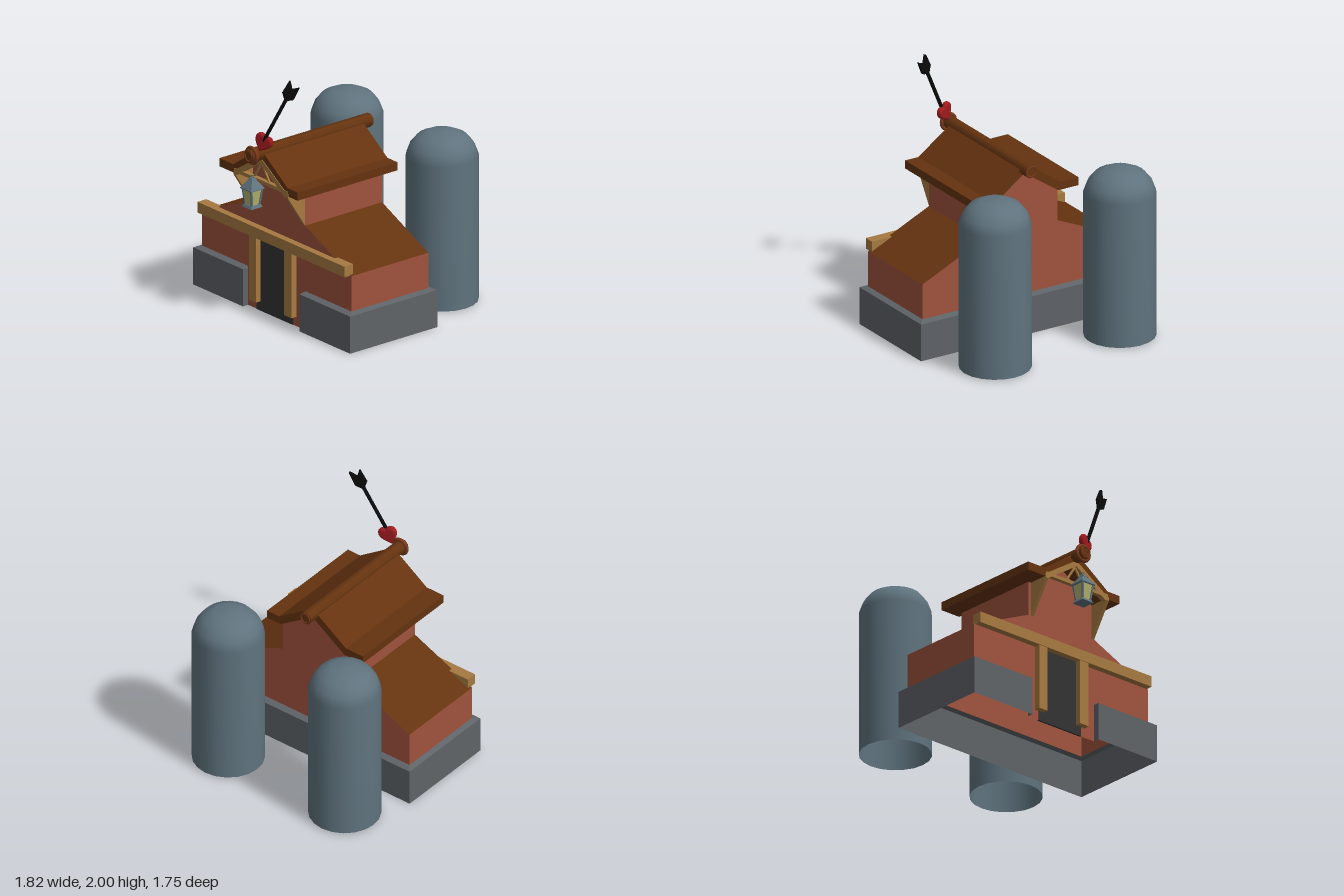
import * as THREE from 'three';

const mat = (color) => new THREE.MeshStandardMaterial({ color, side: THREE.DoubleSide });
const red = mat(0xa0533d), brown = mat(0x65330f), gold = mat(0xa67a40), stone = mat(0x5e6367);
const steel = mat(0x5f737e), dark = mat(0x333333), black = mat(0x0b0b0b), crimson = mat(0xa01a1e);
const glass = mat(0xb5b06c), ringMat = mat(0x7a3a1c);
const V = (x, y, z) => new THREE.Vector3(x, y, z);

function add(parent, name, geometry, material, x = 0, y = 0, z = 0) {
  const mesh = new THREE.Mesh(geometry, material);
  mesh.name = name;
  mesh.position.set(x, y, z);
  parent.add(mesh);
  return mesh;
}

// Box given by its limits on each axis
function block(parent, name, material, [x0, x1], [y0, y1], [z0, z1]) {
  return add(parent, name, new THREE.BoxGeometry(x1 - x0, y1 - y0, z1 - z0), material,
    (x0 + x1) / 2, (y0 + y1) / 2, (z0 + z1) / 2);
}

// Square bar between two points
function bar(parent, name, material, a, b, w, d = w) {
  const dir = b.clone().sub(a);
  const mesh = add(parent, name, new THREE.BoxGeometry(w, dir.length(), d), material);
  mesh.position.copy(a).add(b).multiplyScalar(0.5);
  mesh.quaternion.setFromUnitVectors(V(0, 1, 0), dir.normalize());
  return mesh;
}

// Flat-faced surface joining successive rows of points
function strip(rows) {
  const pos = [];
  for (let r = 0; r + 1 < rows.length; r++) {
    for (let i = 0; i + 1 < rows[r].length; i++) {
      const a = rows[r][i], b = rows[r][i + 1], c = rows[r + 1][i + 1], d = rows[r + 1][i];
      for (const p of [a, b, c, a, c, d]) pos.push(p.x, p.y, p.z);
    }
  }
  const g = new THREE.BufferGeometry();
  g.setAttribute('position', new THREE.Float32BufferAttribute(pos, 3));
  g.computeVertexNormals();
  return g;
}

const polygon = (pts) => new THREE.Shape(pts.map(([x, y]) => new THREE.Vector2(x, y)));
const prism = (pts, depth) => new THREE.ExtrudeGeometry(polygon(pts), { depth, bevelEnabled: false });

function createBarn(root) {
  const g = new THREE.Group();
  g.name = 'barn';
  root.add(g);
  const zb = -0.17, zf = 0.57;

  // Stone footing, open at the doorway
  const outer = [[-0.335, 0.57], [-0.335, 0.62], [-0.91, 0.62], [-0.91, -0.22],
    [0.905, -0.22], [0.905, 0.62], [0.32, 0.62], [0.32, 0.57]];
  const inner = [[-0.345, 0.565], [-0.345, 0.57], [-0.87, 0.57], [-0.87, -0.17],
    [0.86, -0.17], [0.86, 0.57], [0.33, 0.57], [0.33, 0.565]];
  const row = (pts, y) => pts.map(([x, z]) => V(x, y, z));
  add(g, 'footing', strip([row(outer, 0), row(outer, 0.295), row(inner, 0.31)].reverse()), stone);

  // End walls with the stepped gable outline
  const gable = [[0.86, 0.3], [0.86, 0.59], [0.325, 0.83], [0.325, 1.1], [0, 1.31],
    [-0.33, 1.1], [-0.33, 0.83], [-0.87, 0.59], [-0.87, 0.3]];
  const doorway = [[-0.335, 0.3], [-0.335, 0], [-0.23, 0], [-0.23, 0.59],
    [0.19, 0.59], [0.19, 0], [0.32, 0], [0.32, 0.3]];
  add(g, 'frontWall', new THREE.ShapeGeometry(polygon([...gable, ...doorway])), red, 0, 0, zf);
  add(g, 'backWall', new THREE.ShapeGeometry(polygon(gable)), red, 0, 0, zb).rotation.y = 0;

  // Side walls and lean-to roofs
  const span = (i, j, name, material) => {
    const rows = [i, j].map((k) => [V(...gable[k], zf), V(...gable[k], zb)]);
    add(g, name, strip(rows), material);
  };
  span(0, 1, 'leftWall', red);
  span(1, 2, 'leftLowerRoof', brown);
  span(2, 3, 'leftUpperWall', red);
  span(5, 6, 'rightUpperWall', red);
  span(6, 7, 'rightLowerRoof', brown);
  span(7, 8, 'rightWall', red);

  // Door, posts and lintel
  block(g, 'door', dark, [-0.23, 0.19], [0, 0.59], [0.56, 0.575]);
  block(g, 'doorPost', gold, [-0.265, -0.185], [0.075, 0.6], [0.57, 0.62]);
  block(g, 'doorPost', gold, [0.14, 0.225], [0.075, 0.6], [0.57, 0.62]);
  block(g, 'lintelBeam', gold, [-0.855, 0.845], [0.59, 0.675], [0.54, 0.625]);

  // Upper roof with flat eaves
  const roof = [[-0.475, 1.1], [-0.3, 1.1], [0, 1.305], [0.3, 1.1], [0.43, 1.1],
    [0.43, 1.165], [0.315, 1.165], [0, 1.385], [-0.315, 1.165], [-0.475, 1.165]];
  add(g, 'upperRoof', prism(roof, 0.96), brown, 0, 0, -0.23);

  // Ridge log with end rings
  const log = add(g, 'ridgeLog', new THREE.CylinderGeometry(0.053, 0.053, 1.16, 8), brown, -0.003, 1.35, 0.26);
  log.rotation.set(Math.PI / 2, Math.PI / 8, 0);
  add(g, 'ridgeRing', new THREE.TorusGeometry(0.06, 0.014, 8, 20), ringMat, -0.003, 1.35, 0.81);
  for (const z of [0.84, -0.32]) {
    add(g, 'logEndRing', new THREE.TorusGeometry(0.04, 0.006, 6, 16), ringMat, -0.003, 1.35, z);
  }

  // Gable truss and triangular brackets
  for (const s of [-1, 1]) {
    bar(g, 'rafter', gold, V(s * 0.3, 1.1, 0.715), V(0, 1.295, 0.715), 0.04);
    bar(g, 'strut', gold, V(s * 0.09, 1.13, 0.715), V(0, 1.27, 0.715), 0.014);
    const bracket = add(g, 'bracket', prism([[-0.57, 0.83], [-0.57, 1.12], [-0.735, 1.12], [-0.735, 1.09]], 0.026),
      gold, s < 0 ? -0.305 : 0.297);
    bracket.rotation.y = Math.PI / 2;
  }
  block(g, 'tieBeam', gold, [-0.3, 0.315], [1.112, 1.14], [0.7, 0.735]);
}

function createLantern(root) {
  const g = new THREE.Group();
  g.name = 'lantern';
  g.position.set(0, 0.945, 0.808);
  root.add(g);
  // Four-sided frustum from half-widths
  const frustum = (name, top, bottom, y0, y1, material) => {
    const geo = new THREE.CylinderGeometry(top * Math.SQRT2, bottom * Math.SQRT2, y1 - y0, 4).toNonIndexed();
    geo.computeVertexNormals();
    add(g, name, geo, material, 0, (y0 + y1) / 2, 0).rotation.y = Math.PI / 4;
  };
  frustum('lanternBase', 0.045, 0.055, 0, 0.02, steel);
  frustum('lanternGlass', 0.051, 0.036, 0.02, 0.145, glass);
  frustum('lanternEave', 0.065, 0.065, 0.143, 0.15, steel);
  frustum('lanternRoof', 0.022, 0.065, 0.15, 0.21, steel);
  frustum('lanternCap', 0.015, 0.026, 0.21, 0.23, steel);
  for (const x of [-1, 1]) for (const z of [-1, 1]) {
    bar(g, 'lanternCorner', steel, V(x * 0.036, 0.015, z * 0.036), V(x * 0.051, 0.148, z * 0.051), 0.013);
  }
  add(g, 'lanternHook', new THREE.TorusGeometry(0.012, 0.003, 6, 12), steel, 0, 0.238, 0);
}

function createHeartAndArrow(root) {
  const g = new THREE.Group();
  g.name = 'heartAndArrow';
  g.position.set(0.065, 1.46, 0.755);
  g.rotation.y = 0.36;
  root.add(g);

  // Puffy heart from a bevelled outline
  const s = new THREE.Shape();
  s.moveTo(0, -0.052);
  s.bezierCurveTo(0.02, -0.03, 0.055, -0.01, 0.055, 0.022);
  s.bezierCurveTo(0.055, 0.058, 0.012, 0.058, 0, 0.025);
  s.bezierCurveTo(-0.012, 0.058, -0.055, 0.058, -0.055, 0.022);
  s.bezierCurveTo(-0.055, -0.01, -0.02, -0.03, 0, -0.052);
  const heart = new THREE.ExtrudeGeometry(s, {
    depth: 0.006, bevelThickness: 0.02, bevelSize: 0.018, bevelSegments: 4, curveSegments: 8,
  });
  heart.translate(0, 0, -0.003);
  add(g, 'heart', heart, crimson).rotation.z = -0.4;

  // Arrow shaft and notched fletching
  const arrow = new THREE.Group();
  arrow.name = 'arrow';
  arrow.rotation.z = -0.48;
  g.add(arrow);
  add(arrow, 'shaft', new THREE.CylinderGeometry(0.014, 0.014, 0.5, 8), black, 0, 0.27, 0.012);
  const fletching = [[0, 0.42], [0.05, 0.47], [0.045, 0.585], [0, 0.535], [-0.045, 0.585], [-0.05, 0.47]];
  add(arrow, 'fletching', prism(fletching, 0.024), black, 0, 0, 0);
}

function createSilos(root) {
  // Round tank with a domed top
  const profile = [[0.272, 0.01], [0.272, 1.155], [0.243, 1.235], [0.19, 1.3], [0.11, 1.338], [0, 1.345]];
  const geo = new THREE.LatheGeometry(profile.map(([r, y]) => new THREE.Vector2(r, y)), 20);
  add(root, 'rightSilo', geo, steel, -0.6, 0, -0.602);
  add(root, 'leftSilo', geo, steel, 0.5, 0, -0.602);
}

export function createModel() {
  const root = new THREE.Group();
  root.name = 'barnWithSilos';
  createBarn(root);
  createLantern(root);
  createHeartAndArrow(root);
  createSilos(root);
  return root;
}
